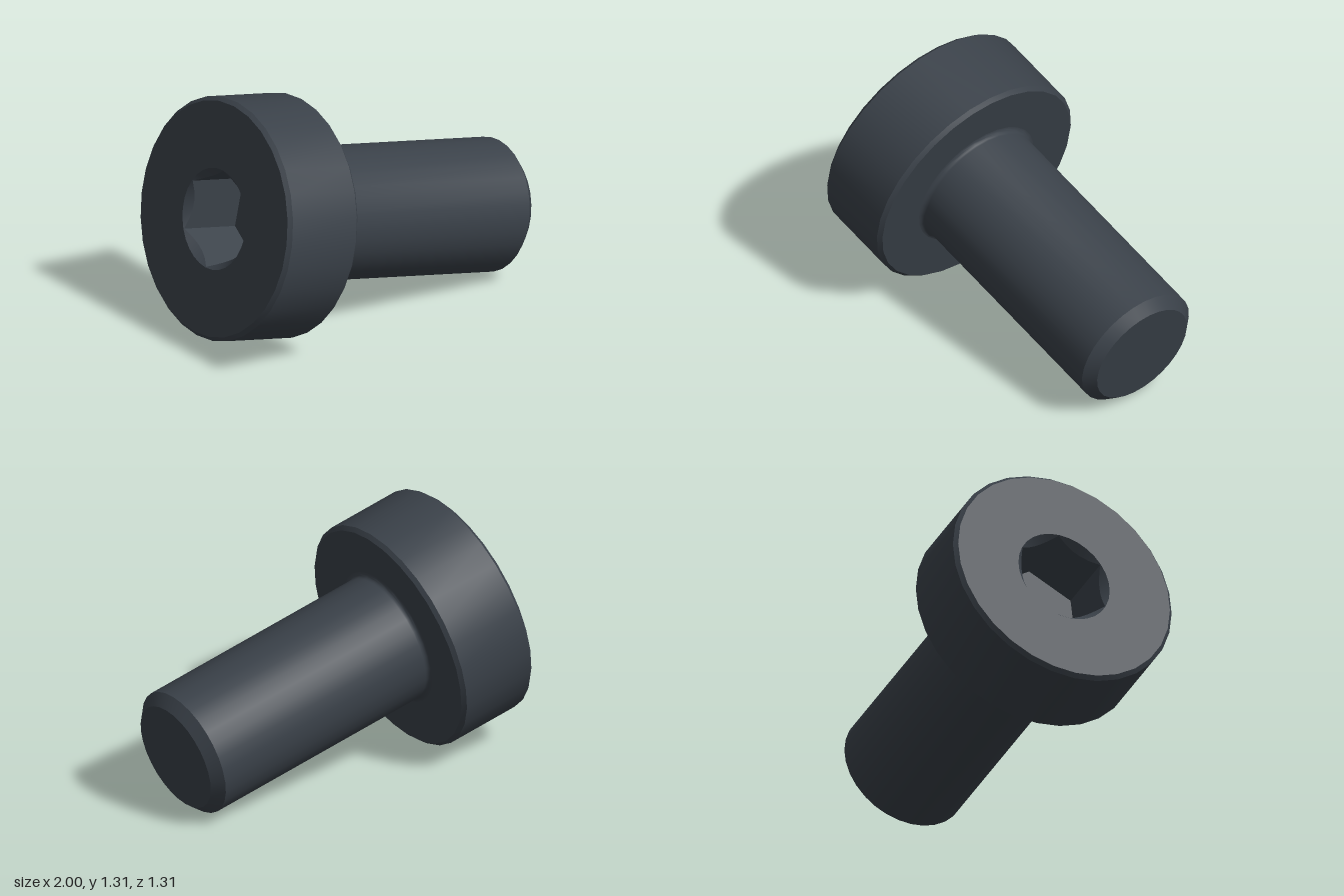
import * as THREE from 'three';
import { toCreasedNormals } from 'three/addons/utils/BufferGeometryUtils.js';

const SEGMENTS = 30; // five per side of the hex socket
const CREASE = 0.5;

// Profile points are [radius, height]; the screw axis is local y, head up
const lathe = (points) =>
  new THREE.LatheGeometry(points.map(([r, y]) => new THREE.Vector2(r, y)), SEGMENTS);

export function createModel() {
  const steel = new THREE.MeshStandardMaterial({ color: 0x3a4149 });
  steel.name = 'dark steel';

  const model = new THREE.Group();
  model.name = 'socketScrew';
  const screw = new THREE.Group();
  screw.name = 'tiltedScrew';
  model.add(screw);

  const addPart = (name, geometry) => {
    const mesh = new THREE.Mesh(toCreasedNormals(geometry, CREASE), steel);
    mesh.name = name;
    screw.add(mesh);
  };

  const headRadius = 0.623;
  const headDepth = 0.45;
  const chamfer = 0.02;
  const shaftRadius = 0.343;
  const shaftEnd = 1.816;
  const rimRadius = 0.26;
  const fillet = 0.025;

  // Shaft: chamfered tip, straight barrel, fillet into the head
  const shaft = [[0, -shaftEnd], [0.288, -shaftEnd], [shaftRadius, -shaftEnd + 0.054]];
  for (let i = 0; i <= 4; i++) {
    const a = (i / 4) * Math.PI / 2;
    shaft.push([
      shaftRadius + fillet * (1 - Math.cos(a)),
      -headDepth - fillet * (1 - Math.sin(a)),
    ]);
  }
  addPart('shaft', lathe(shaft));

  // Head: underside, chamfered rim and the annular top face
  addPart('head', lathe([
    [shaftRadius + fillet, -headDepth],
    [headRadius - chamfer, -headDepth],
    [headRadius, -headDepth + chamfer],
    [headRadius, -chamfer],
    [headRadius - chamfer, 0],
    [rimRadius, 0],
  ]));

  // Hex socket: a round countersunk lip cut into six flat walls and a floor
  const cornerRadius = 0.257;
  const apothem = cornerRadius * Math.cos(Math.PI / 6);
  const socketDepth = 0.33;
  const socket = lathe([[rimRadius, 0], [1, -0.1], [1, -socketDepth], [0, -socketDepth]]);
  const pos = socket.attributes.position;
  for (let i = 0; i < pos.count; i++) {
    const ring = i % 4;
    if (ring !== 1 && ring !== 2) continue;
    const angle = (Math.floor(i / 4) % SEGMENTS) * 2 * Math.PI / SEGMENTS;
    const r = apothem / Math.cos((angle % (Math.PI / 3)) - Math.PI / 6);
    const y = ring === 1 ? -(rimRadius - r) : -socketDepth;
    pos.setXYZ(i, r * Math.sin(angle), y, r * Math.cos(angle));
  }
  addPart('hexSocket', socket);

  // Tilt: head outward along up, one socket corner pointing to the lowest side
  const up = new THREE.Vector3(-1, 0.218, -0.218).normalize();
  const corner = new THREE.Vector3(0, -1, 0).addScaledVector(up, up.y).normalize();
  const side = new THREE.Vector3().crossVectors(up, corner);
  screw.quaternion.setFromRotationMatrix(new THREE.Matrix4().makeBasis(side, up, corner));
  screw.position.set(-0.823, 0.703, -0.052);

  return model;
}
